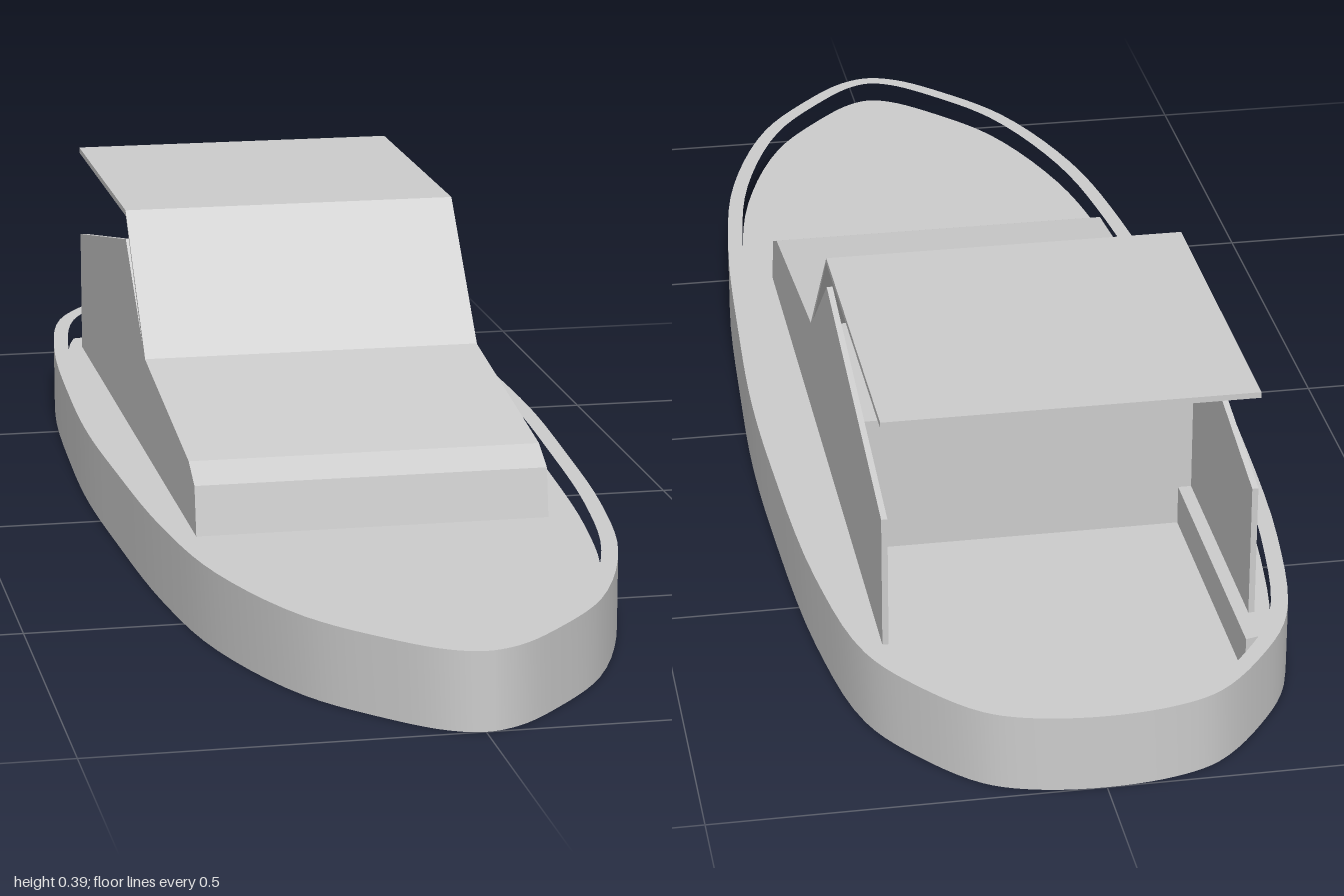
import * as THREE from 'three';
import { toCreasedNormals } from 'three/addons/utils/BufferGeometryUtils.js';

// Half outline of the hull from stern to bow as [x, z]
const HALF = [
  [0.09, -0.99], [0.15, -0.965], [0.22, -0.89], [0.272, -0.8], [0.308, -0.6],
  [0.325, -0.3], [0.328, -0.1], [0.32, 0.1], [0.3, 0.4], [0.265, 0.62],
  [0.19, 0.82], [0.11, 0.925], [0.045, 0.985],
];

export function createModel() {
  const group = new THREE.Group();
  const grey = new THREE.MeshStandardMaterial({ color: 0xcccccc });
  grey.name = 'light grey';

  const add = (name, geometry) => {
    const mesh = new THREE.Mesh(geometry, grey);
    mesh.name = name;
    group.add(mesh);
  };

  // Smooth closed outline, sampled from stern along +x to the bow and back along -x
  const knots = [[0, -1], ...HALF, [0, 1], ...HALF.map(([x, z]) => [-x, z]).reverse()]
    .map(([x, z]) => new THREE.Vector3(x, 0, z));
  const curve = new THREE.CatmullRomCurve3(knots, true);
  const outer = [], inner = [];
  const COUNT = 140, RIM = 0.022;
  for (let i = 0; i < COUNT; i++) {
    const p = curve.getPoint(i / COUNT), t = curve.getTangent(i / COUNT);
    outer.push(new THREE.Vector2(p.x, -p.z));
    inner.push(new THREE.Vector2(p.x - t.z * RIM, -(p.z + t.x * RIM)));
  }

  // Horizontal slab from a plan shape (x, -z) between two heights
  const slab = (shape, y0, y1) => {
    const g = new THREE.ExtrudeGeometry(shape, { depth: y1 - y0, bevelEnabled: false });
    g.rotateX(-Math.PI / 2).translate(0, y0, 0);
    return toCreasedNormals(g, 0.6);
  };

  // Hull: bottom plate and rim wall
  add('hullBottom', slab(new THREE.Shape(inner), 0, 0.018));
  const rim = new THREE.Shape(outer);
  rim.holes.push(new THREE.Path(inner));
  add('hullWall', slab(rim, 0, 0.103));

  // Raised deck with side ledges around an open stern cockpit
  const notch = [[-0.22, -0.8], [-0.22, -0.39], [0.22, -0.39], [0.22, -0.8]]
    .map(([x, z]) => new THREE.Vector2(x, -z));
  add('deck', slab(new THREE.Shape([...inner.filter((p) => p.y < 0.8), ...notch]), 0.018, 0.073));

  // Side profile in (z, y), extruded across the beam from x0 to x1
  const across = (profile, x0, x1) => {
    const shape = new THREE.Shape(profile.map(([z, y]) => new THREE.Vector2(z, y)));
    const g = new THREE.ExtrudeGeometry(shape, { depth: x1 - x0, bevelEnabled: false });
    return g.rotateY(-Math.PI / 2).translate(x1, 0, 0);
  };
  const X0 = -0.246, X1 = 0.24;

  // Fore cabin with sloping top and flat dash behind the windscreen
  add('foreCabin', across([
    [0.348, 0.073], [0.336, 0.14], [0.29, 0.162], [-0.09, 0.212], [-0.39, 0.212], [-0.39, 0.073],
  ], X0, X1));

  // Side walls of the cockpit
  const wall = [[-0.09, 0.073], [-0.09, 0.212], [-0.257, 0.35], [-0.735, 0.255], [-0.735, 0.073]];
  add('sideWallRight', across(wall, X0, X0 + 0.008));
  add('sideWallLeft', across(wall, X1 - 0.008, X1));

  // Windscreen and canopy roof as one bent sheet
  add('windscreenAndRoof', across([
    [-0.085, 0.212], [-0.257, 0.393], [-0.735, 0.393], [-0.735, 0.385], [-0.254, 0.385], [-0.095, 0.212],
  ], X0, X1));

  return group;
}
